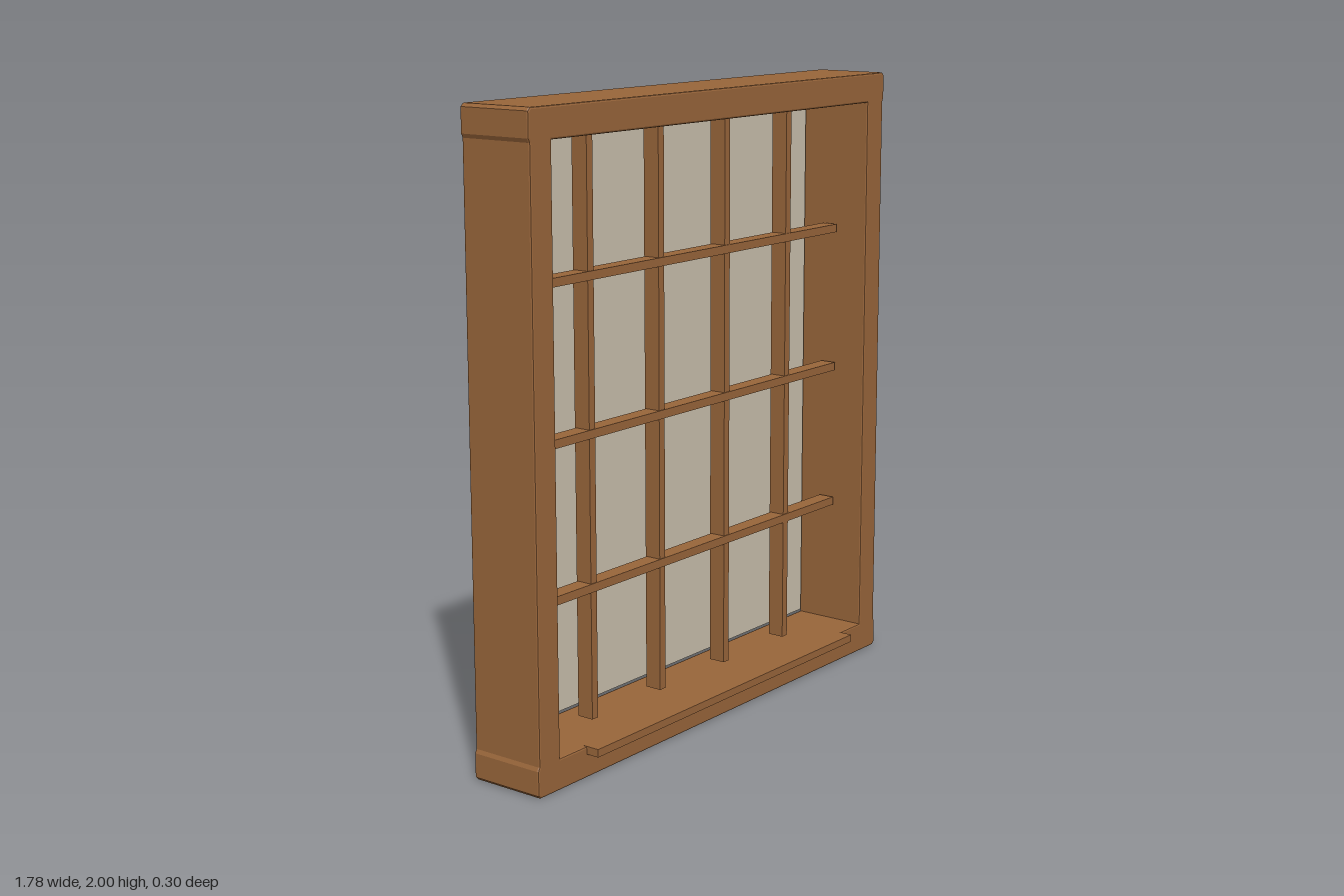
import * as THREE from 'three';

const wood = new THREE.MeshStandardMaterial({ color: 0x98653a });
wood.name = 'wood';
const paper = new THREE.MeshStandardMaterial({ color: 0xcac0ad });
paper.name = 'paper';

// Box given by its minimum and maximum corners
function box(name, material, min, max) {
  const size = max.map((v, i) => v - min[i]);
  const mesh = new THREE.Mesh(new THREE.BoxGeometry(...size), material);
  mesh.position.set(...max.map((v, i) => (v + min[i]) / 2));
  mesh.name = name;
  return mesh;
}

// Bevelled frame: rails stand slightly proud of the stiles at the ends
function createFrame() {
  const W = 0.892, S = 0.886, C = 0.01, back = -0.147, front = 0.106, bevel = 0.006;
  const side = [[W - C, 0], [W, C], [W, 0.085], [S, 0.097], [S, 1.903], [W, 1.915], [W, 2 - C], [W - C, 2]];
  const mirrored = side.map(([x, y]) => [-x, y]).reverse();
  const shape = new THREE.Shape([...side, ...mirrored].map(p => new THREE.Vector2(...p)));
  const opening = [[-0.795, 0.098], [-0.795, 1.905], [0.795, 1.905], [0.795, 0.098]];
  shape.holes.push(new THREE.Path(opening.map(p => new THREE.Vector2(...p))));
  const geometry = new THREE.ExtrudeGeometry(shape, {
    depth: front - back - 2 * bevel,
    bevelThickness: bevel, bevelSize: bevel, bevelOffset: -bevel, bevelSegments: 2,
  });
  geometry.translate(0, 0, back + bevel);
  const mesh = new THREE.Mesh(geometry, wood);
  mesh.name = 'frame';
  return mesh;
}

export function createModel() {
  const model = new THREE.Group();
  model.name = 'window';
  model.add(createFrame());

  // Backing pane, slightly proud of the frame's back
  model.add(box('pane', paper, [-0.782, 0.11, -0.152], [0.782, 1.896, -0.134]));

  // Lattice of bars
  const lattice = new THREE.Group();
  lattice.name = 'lattice';
  const h = 0.0135;
  for (const x of [-0.503, -0.169, 0.167, 0.501]) {
    lattice.add(box('verticalBar', wood, [x - h, 0.11, -0.062], [x + h, 1.896, -0.006]));
  }
  for (const y of [0.528, 1.004, 1.48]) {
    lattice.add(box('horizontalBar', wood, [-0.782, y - h, -0.058], [0.782, y + h, -0.003]));
  }
  model.add(lattice);

  // Narrow ledge on the front of the bottom rail
  model.add(box('ledge', wood, [-0.676, 0.074, 0.095], [0.676, 0.099, 0.15]));
  return model;
}
